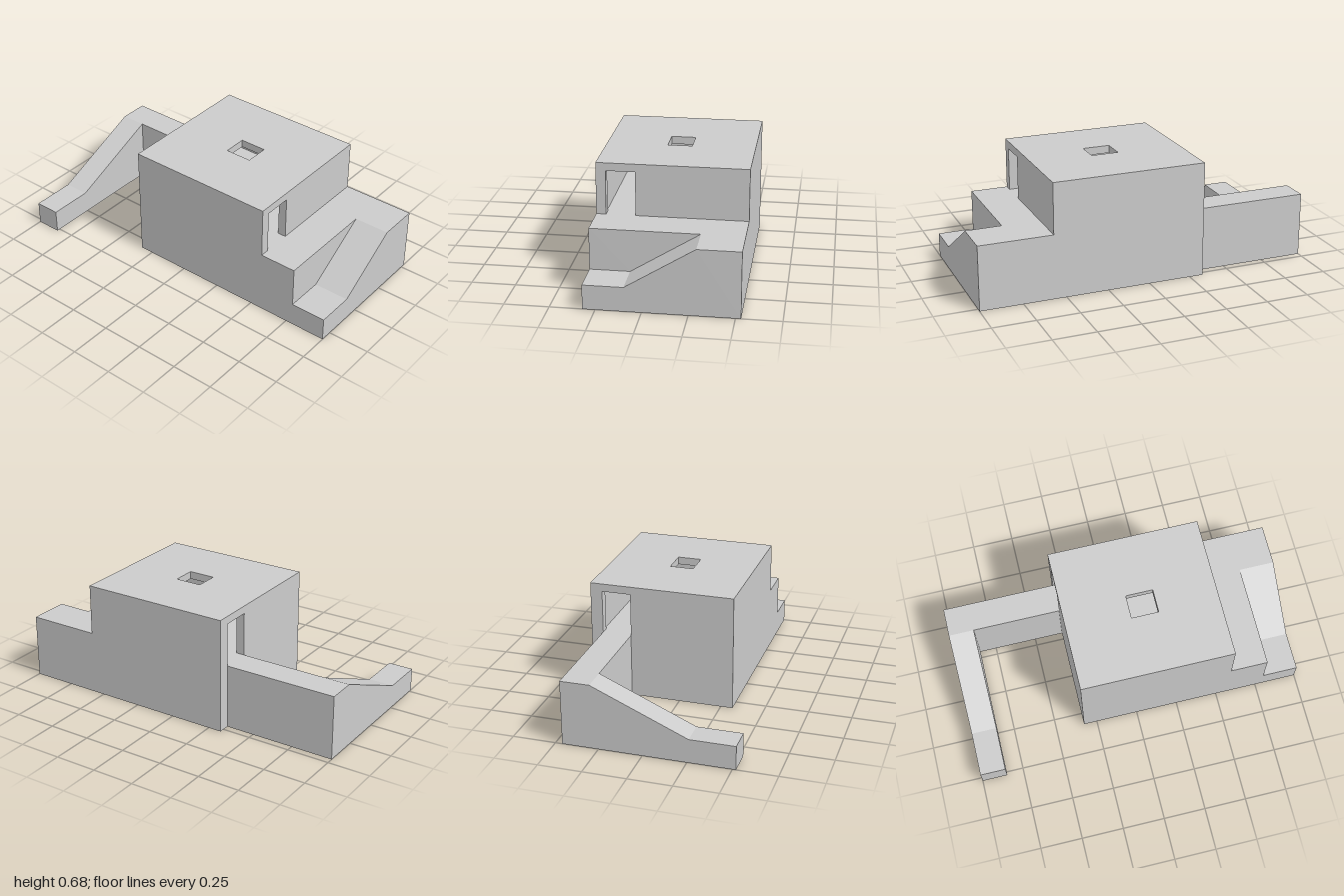
import * as THREE from 'three';

const material = new THREE.MeshStandardMaterial({
  color: 0xcccccc, flatShading: true, side: THREE.DoubleSide,
});

// Places a 2D point (a, b) on the plane at distance d along an axis.
const place = {
  x: (d, a, b) => [d, b, a], // a = z, b = y
  y: (d, a, b) => [a, d, b], // a = x, b = z
  z: (d, a, b) => [a, b, d], // a = x, b = y
};

const rect = (a0, a1, b0, b1) => [[a0, b0], [a1, b0], [a1, b1], [a0, b1]];
const toVectors = (points) => points.map(([a, b]) => new THREE.Vector2(a, b));

export function createModel() {
  const model = new THREE.Group();

  const add = (name, geometry) => {
    geometry.computeVertexNormals();
    const mesh = new THREE.Mesh(geometry, material);
    mesh.name = name;
    model.add(mesh);
  };

  // Flat sheet with an outline and an optional hole
  const panel = (name, axis, d, outline, hole) => {
    const shape = new THREE.Shape(toVectors(outline));
    if (hole) shape.holes.push(new THREE.Path(toVectors(hole)));
    const geometry = new THREE.ShapeGeometry(shape);
    const p = geometry.attributes.position;
    for (let i = 0; i < p.count; i++) p.setXYZ(i, ...place[axis](d, p.getX(i), p.getY(i)));
    add(name, geometry);
  };

  // Strip of faces made by sweeping a path from d0 to d1 along an axis
  const sweep = (name, axis, d0, d1, path, closed = false) => {
    const points = closed ? [...path, path[0]] : path;
    const vertices = [];
    for (let i = 0; i < points.length - 1; i++) {
      const [p, q] = [points[i], points[i + 1]];
      const [a, b, c, d] = [[d0, p], [d0, q], [d1, q], [d1, p]].map(([t, v]) => place[axis](t, ...v));
      vertices.push(...a, ...b, ...c, ...a, ...c, ...d);
    }
    const geometry = new THREE.BufferGeometry();
    geometry.setAttribute('position', new THREE.Float32BufferAttribute(vertices, 3));
    add(name, geometry);
  };

  const deck = 0.38, step = 0.14, roof = 0.68, ceiling = 0.635;
  const front = 0.32, back = -0.53, west = -0.33, east = 0.57;
  const room = { x0: -0.28, x1: 0.52, z0: -0.47, z1: 0.27 };
  const hatch = rect(0.05, 0.21, -0.17, -0.03);

  // Outer walls of the hall and the side deck
  panel('frontWall', 'z', front, [
    [west, 0], [1, 0], [1, step], [0.79, step], [0.79, deck], [east, deck], [east, roof], [west, roof]]);
  panel('backWall', 'z', back, [
    [west, 0], [1, 0], [1, deck], [east, deck], [east, roof], [west, roof]]);

  // Wall with a doorway cut up from its lower edge (or from the deck)
  const doorWall = (name, x, z0, z1, bottom, top, d0, d1) => panel(name, 'x', x, [
    [z0, bottom], [d0, bottom], [d0, ceiling - 0.001], [d1, ceiling - 0.001],
    [d1, bottom], [z1, bottom], [z1, top], [z0, top]]);
  const leftDoor = [0.10, 0.265], rightDoor = [-0.46, -0.29];
  doorWall('leftWall', east, back, front, deck, roof, ...leftDoor);
  doorWall('rightWall', west, back, front, 0, roof, ...rightDoor);

  // Roof with its hatch
  panel('roof', 'y', roof, rect(west, east, back, front), hatch);
  sweep('hatchSides', 'y', ceiling, roof, hatch, true);

  // Room inside the hall
  doorWall('roomLeftWall', room.x1, room.z0, room.z1, deck, ceiling, ...leftDoor);
  doorWall('roomRightWall', room.x0, room.z0, room.z1, deck, ceiling, ...rightDoor);
  panel('roomFrontWall', 'z', room.z1, rect(room.x0, room.x1, deck, ceiling));
  panel('roomBackWall', 'z', room.z0, rect(room.x0, room.x1, deck, ceiling));
  panel('roomFloor', 'y', deck, rect(room.x0, room.x1, room.z0, room.z1));
  panel('roomCeiling', 'y', ceiling, rect(room.x0, room.x1, room.z0, room.z1), hatch);
  sweep('leftDoorFrame', 'x', room.x1, east, rect(...leftDoor, deck, ceiling), true);
  sweep('rightDoorFrame', 'x', west, room.x0, rect(...rightDoor, deck, ceiling), true);

  // Left deck with a ramp sunk into its outer side
  const leftRamp = [[front, step], [0.095, step], [-0.29, deck]];
  panel('leftDeck', 'y', deck, [
    [east, back], [1, back], [1, -0.29], [0.79, -0.29], [0.79, front], [east, front]]);
  sweep('leftRamp', 'x', 0.79, 1, leftRamp);
  panel('leftRampInnerWall', 'x', 0.79, [...leftRamp, [front, deck]]);
  panel('leftRampOuterWall', 'x', 1, [[back, 0], [front, 0], ...leftRamp, [back, deck]]);

  // Right walkway turning forward into a long ramp
  const rightRamp = [[0.52, step], [0.26, step], [-0.29, deck]];
  panel('walkwayTop', 'y', deck, rect(-1, west, -0.46, -0.29));
  panel('walkwayBackWall', 'z', -0.46, rect(-1, west, 0, deck));
  panel('walkwayFrontWall', 'z', -0.29, rect(-0.85, west, 0, deck));
  sweep('rightRamp', 'x', -1, -0.85, rightRamp);
  panel('rightRampEnd', 'z', 0.52, rect(-1, -0.85, 0, step));
  panel('rightRampInnerWall', 'x', -0.85, [[-0.29, 0], [0.52, 0], ...rightRamp]);
  panel('rightRampOuterWall', 'x', -1, [[-0.46, 0], [0.52, 0], ...rightRamp, [-0.46, deck]]);

  return model;
}
